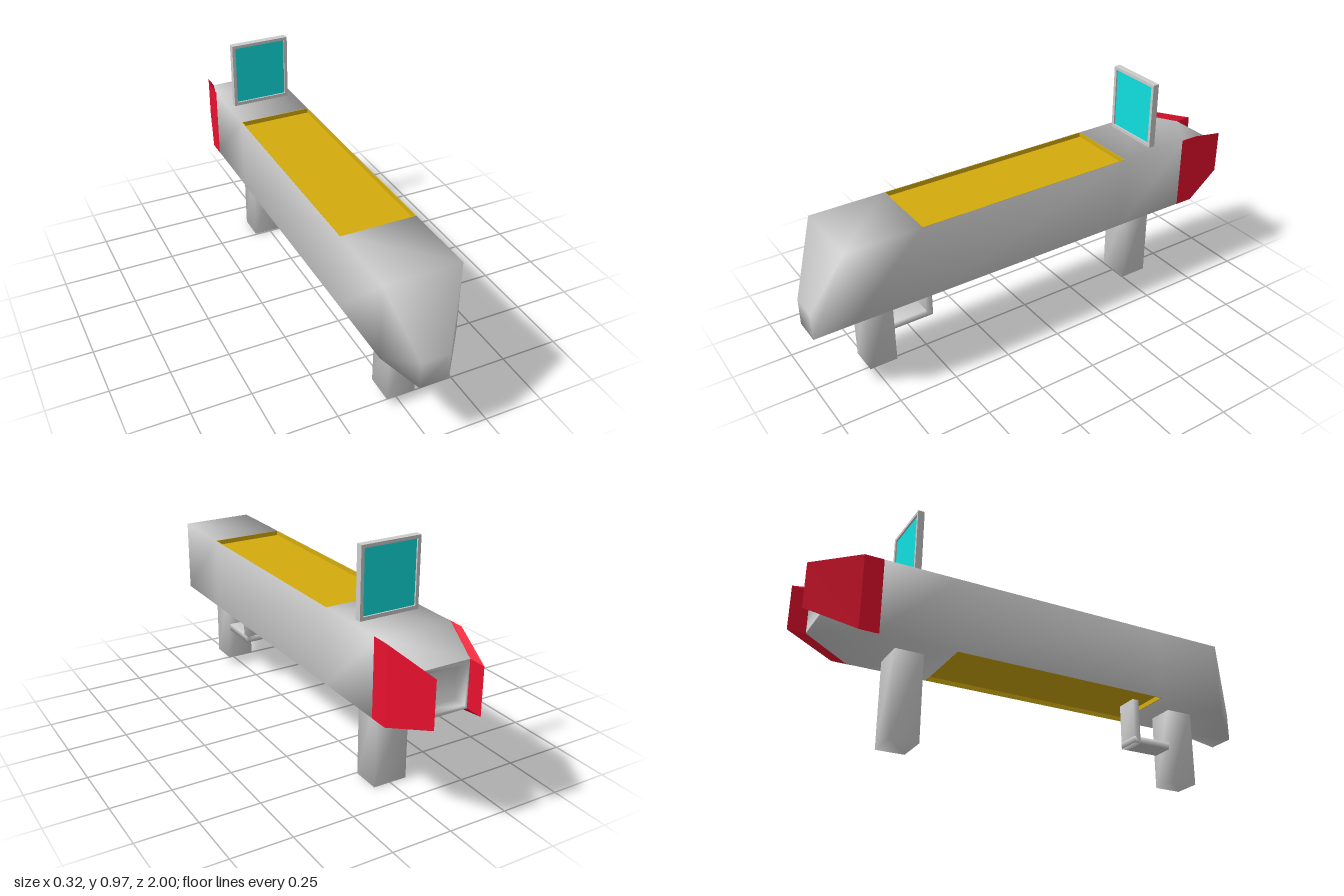
import * as THREE from 'three';
import { mergeVertices } from 'three/addons/utils/BufferGeometryUtils.js';

const mat = (color, side = THREE.FrontSide) => new THREE.MeshStandardMaterial({ color, side });
const grey = mat(0xcccccc), greyShell = mat(0xcccccc, THREE.DoubleSide);
const red = mat(0xe8102e), yellow = mat(0xd4ac0d), cyan = mat(0x10e0e0);

const Y0 = 0.365, Y1 = 0.683, HW = 0.158;   // body bottom, top and half width

export function createModel() {
  const model = new THREE.Group();
  const add = (name, geometry, material, parent = model) => {
    const mesh = new THREE.Mesh(geometry, material);
    mesh.name = name;
    parent.add(mesh);
    return mesh;
  };

  // Box given by its limits; soft shares the corner normals
  const box = (x, y0, y1, z0, z1, soft = false) => {
    let g = new THREE.BoxGeometry(2 * x, y1 - y0, z1 - z0);
    g.translate(0, (y0 + y1) / 2, (z0 + z1) / 2);
    if (soft) {
      g.deleteAttribute('normal');
      g.deleteAttribute('uv');
      g = mergeVertices(g);
      g.computeVertexNormals();
    }
    return g;
  };

  // Skin over rectangular rings [z, halfWidth, bottom, top], front to back
  const loft = (rings, { capFront, capBack, openSegment = -1 }) => {
    const pos = [], idx = [];
    for (const [z, w, b, t] of rings) pos.push(w, t, z, -w, t, z, -w, b, z, w, b, z);
    for (let i = 0; i < rings.length - 1; i++) {
      for (let j = 0; j < 4; j++) {
        if (i === openSegment && j % 2 === 0) continue;
        const a = i * 4 + j, b = i * 4 + (j + 1) % 4;
        idx.push(a, a + 4, b + 4, a, b + 4, b);
      }
    }
    const e = (rings.length - 1) * 4;
    if (capFront) idx.push(0, 1, 2, 0, 2, 3);
    if (capBack) idx.push(e, e + 2, e + 1, e, e + 3, e + 2);
    const g = new THREE.BufferGeometry();
    g.setAttribute('position', new THREE.Float32BufferAttribute(pos, 3));
    g.setIndex(idx);
    g.computeVertexNormals();
    return g;
  };

  // Body with a drooping nose, a tapered tail and an opening above and below
  add('body', loft([
    [1, 0.06, 0.285, 0.4],
    [0.88, HW, Y0, Y1],
    [0.56, HW, Y0, Y1],
    [-0.4, HW, Y0, Y1],
    [-0.74, HW, Y0, Y1],
    [-0.926, 0.1, 0.43, 0.62],
  ], { capFront: true, openSegment: 2 }), greyShell);

  // Recessed tail opening
  add('tailOpening', loft([
    [-0.926, 0.1, 0.43, 0.62],
    [-0.926, 0.088, 0.445, 0.605],
    [-0.88, 0.08, 0.45, 0.6],
  ], { capBack: true }), greyShell);

  // Yellow channels: an H section seen from above and below
  const w = HW - 0.001, wi = HW - 0.003, d = 0.02;
  const section = new THREE.Shape([
    [-w, Y0], [-wi, Y0], [-wi, Y0 + d], [wi, Y0 + d], [wi, Y0], [w, Y0],
    [w, Y1], [wi, Y1], [wi, Y1 - d], [-wi, Y1 - d], [-wi, Y1], [-w, Y1],
  ].map(([x, y]) => new THREE.Vector2(x, y)));
  const channel = new THREE.ExtrudeGeometry(section, { depth: 0.96, bevelEnabled: false });
  channel.translate(0, 0, -0.4);
  add('yellowChannel', channel, yellow);
  add('channelFrontEnd', box(w, Y0, Y1, 0.557, 0.56), yellow);
  add('channelBackEnd', box(w, Y0, Y1, -0.4, -0.397), yellow);

  // Red tail fins, shrinking in height towards the tips
  const mid = (Y0 + Y1) / 2;
  for (const s of [1, -1]) {
    const outline = new THREE.Shape([
      [HW + 0.001, 0.72], [HW + 0.001, 0.8], [0.1, 1], [0.1, 0.927], [HW - 0.001, 0.74],
    ].map(([x, z]) => new THREE.Vector2(s * x, z)));
    const fin = new THREE.ExtrudeGeometry(outline, { depth: Y1 - Y0, bevelEnabled: false });
    fin.rotateX(-Math.PI / 2);
    fin.translate(0, Y0, 0);
    const p = fin.attributes.position;
    for (let i = 0; i < p.count; i++) {
      if (Math.abs(p.getX(i)) < 0.13) p.setY(i, 0.525 + (p.getY(i) - mid) * 0.6);
    }
    fin.computeVertexNormals();
    add(s > 0 ? 'leftTailFin' : 'rightTailFin', fin, red);
  }

  // Grip, guard and rear support
  add('frontGrip', box(0.06, 0.04, 0.39, 0.665, 0.785, true), grey);
  add('guardBar', box(0.05, 0.185, 0.215, 0.485, 0.67, true), grey);
  add('guardPost', box(0.05, 0.185, 0.39, 0.485, 0.515, true), grey);
  add('rearSupport', box(0.073, 0, 0.39, -0.625, -0.505, true), grey);

  // Upright screen in a thin frame
  const screen = new THREE.Group();
  screen.name = 'screen';
  model.add(screen);
  const rect = (C, x, y0, y1) => new C([[-x, y0], [x, y0], [x, y1], [-x, y1]]
    .map(([a, b]) => new THREE.Vector2(a, b)));
  const frame = rect(THREE.Shape, 0.129, 0.68, 0.97);
  frame.holes.push(rect(THREE.Path, 0.115, 0.698, 0.957));
  const frameGeo = new THREE.ExtrudeGeometry(frame, { depth: 0.028, bevelEnabled: false });
  frameGeo.translate(0, 0, -0.584);
  add('screenFrame', frameGeo, grey, screen);
  add('screenPane', box(0.116, 0.697, 0.958, -0.577, -0.563), cyan, screen);

  return model;
}
